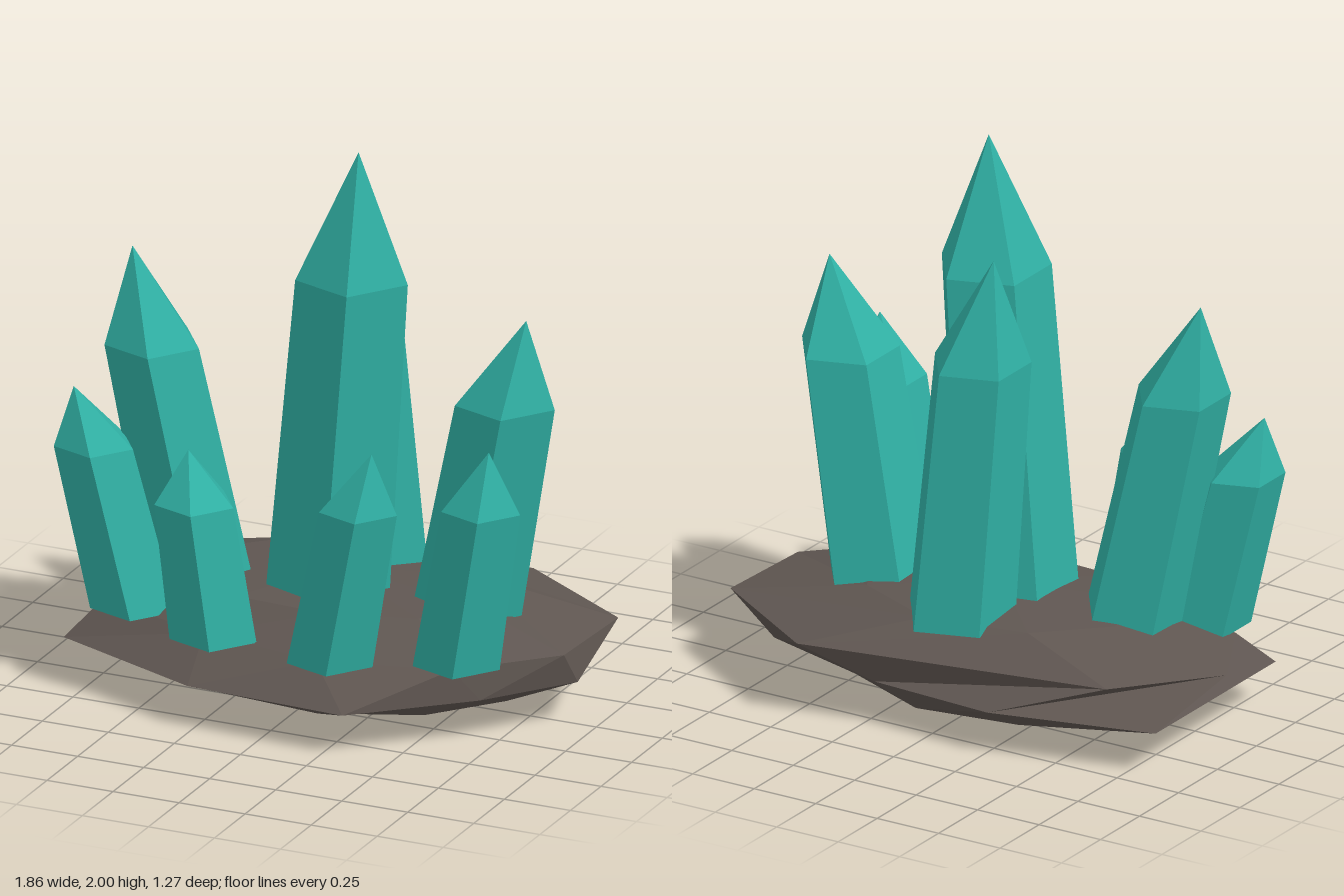
import * as THREE from 'three';

const crystalMat = new THREE.MeshStandardMaterial({ color: 0x30b0a4, flatShading: true });
crystalMat.name = 'teal crystal';
const rockMat = new THREE.MeshStandardMaterial({ color: 0x5f5651, flatShading: true });
rockMat.name = 'brown rock';

// Faceted closed solid: bottom point, rings from low to high, top point
function facetedSolid(bottom, rings, top) {
  const pos = [];
  const tri = (...pts) => pts.forEach((p) => pos.push(...p));
  const n = rings[0].length;
  const last = rings[rings.length - 1];
  for (let i = 0; i < n; i++) {
    const j = (i + 1) % n;
    tri(rings[0][i], rings[0][j], bottom);
    for (let r = 0; r < rings.length - 1; r++) {
      const a = rings[r], b = rings[r + 1];
      tri(a[i], b[i], a[j]);
      tri(a[j], b[i], b[j]);
    }
    tri(last[i], top, last[j]);
  }
  const geo = new THREE.BufferGeometry();
  geo.setAttribute('position', new THREE.Float32BufferAttribute(pos, 3));
  geo.computeVertexNormals();
  return geo;
}

// Level five-sided ring with one corner pointing to +x
function pentagon(x, y, z, r) {
  return Array.from({ length: 5 }, (_, i) => {
    const a = (i / 5) * Math.PI * 2;
    return [x + r * Math.cos(a), y, z + r * Math.sin(a)];
  });
}

// Leaning shaft from base to shoulder, then a pointed tip
function makeCrystal({ name, base, shoulder, tip, r }) {
  const geo = facetedSolid(base, [pentagon(...base, r * 1.1), pentagon(...shoulder, r)], tip);
  const mesh = new THREE.Mesh(geo, crystalMat);
  mesh.name = name;
  return mesh;
}

const crystals = [
  { name: 'centreCrystal', base: [0.0, 0.35, 0.02], shoulder: [0.1, 1.53, 0.04], tip: [0.13, 2.0, 0.065], r: 0.205 },
  { name: 'backCrystal', base: [0.03, 0.35, -0.29], shoulder: [-0.025, 1.29, -0.24], tip: [-0.08, 1.68, -0.235], r: 0.18 },
  { name: 'rightLargeCrystal', base: [-0.46, 0.33, 0.05], shoulder: [-0.63, 1.19, 0.1], tip: [-0.71, 1.53, 0.1], r: 0.172 },
  { name: 'leftLargeCrystal', base: [0.48, 0.33, -0.08], shoulder: [0.647, 1.13, -0.03], tip: [0.73, 1.45, -0.01], r: 0.182 },
  { name: 'rightOuterCrystal', base: [-0.62, 0.28, 0.27], shoulder: [-0.764, 0.86, 0.29], tip: [-0.83, 1.07, 0.32], r: 0.144 },
  { name: 'rightFrontCrystal', base: [-0.25, 0.28, 0.42], shoulder: [-0.314, 0.77, 0.44], tip: [-0.35, 0.95, 0.42], r: 0.144 },
  { name: 'leftFrontCrystal', base: [0.21, 0.28, 0.46], shoulder: [0.335, 0.87, 0.5], tip: [0.39, 1.09, 0.52], r: 0.142 },
  { name: 'leftOuterCrystal', base: [0.615, 0.28, 0.3], shoulder: [0.726, 0.88, 0.34], tip: [0.76, 1.1, 0.36], r: 0.144 },
];

// Rock outlines as [x, z], nine corners each, at rising heights
const rockRings = [
  { y: 0.04, pts: [[0.66, 0], [0.46, 0.24], [0.12, 0.38], [-0.28, 0.34], [-0.58, 0.15], [-0.56, -0.17], [-0.26, -0.36], [0.12, -0.42], [0.46, -0.27]] },
  { y: 0.155, pts: [[0.93, 0], [0.7, 0.3], [0.33, 0.63], [-0.27, 0.6], [-0.85, 0.36], [-0.85, -0.41], [-0.26, -0.56], [0.22, -0.53], [0.72, -0.38]] },
  { y: 0.275, pts: [[0.91, 0.07], [0.62, 0.36], [0.16, 0.48], [-0.3, 0.4], [-0.75, 0.26], [-0.93, -0.08], [-0.65, -0.41], [0.47, -0.63], [0.93, -0.33]] },
  { y: 0.375, pts: [[0.54, 0], [0.42, 0.2], [0.1, 0.29], [-0.24, 0.27], [-0.46, 0.14], [-0.5, -0.12], [-0.28, -0.33], [0.1, -0.4], [0.42, -0.26]] },
];

export function createModel() {
  const model = new THREE.Group();
  model.name = 'crystalCluster';

  // Flat rock underneath
  const rings = rockRings.map(({ y, pts }) => pts.map(([x, z]) => [x, y, z]));
  const rock = new THREE.Mesh(facetedSolid([0, 0, 0], rings, [0, 0.41, -0.05]), rockMat);
  rock.name = 'rockBase';
  model.add(rock);

  // Crystals
  const cluster = new THREE.Group();
  cluster.name = 'crystals';
  crystals.forEach((c) => cluster.add(makeCrystal(c)));
  model.add(cluster);
  return model;
}
